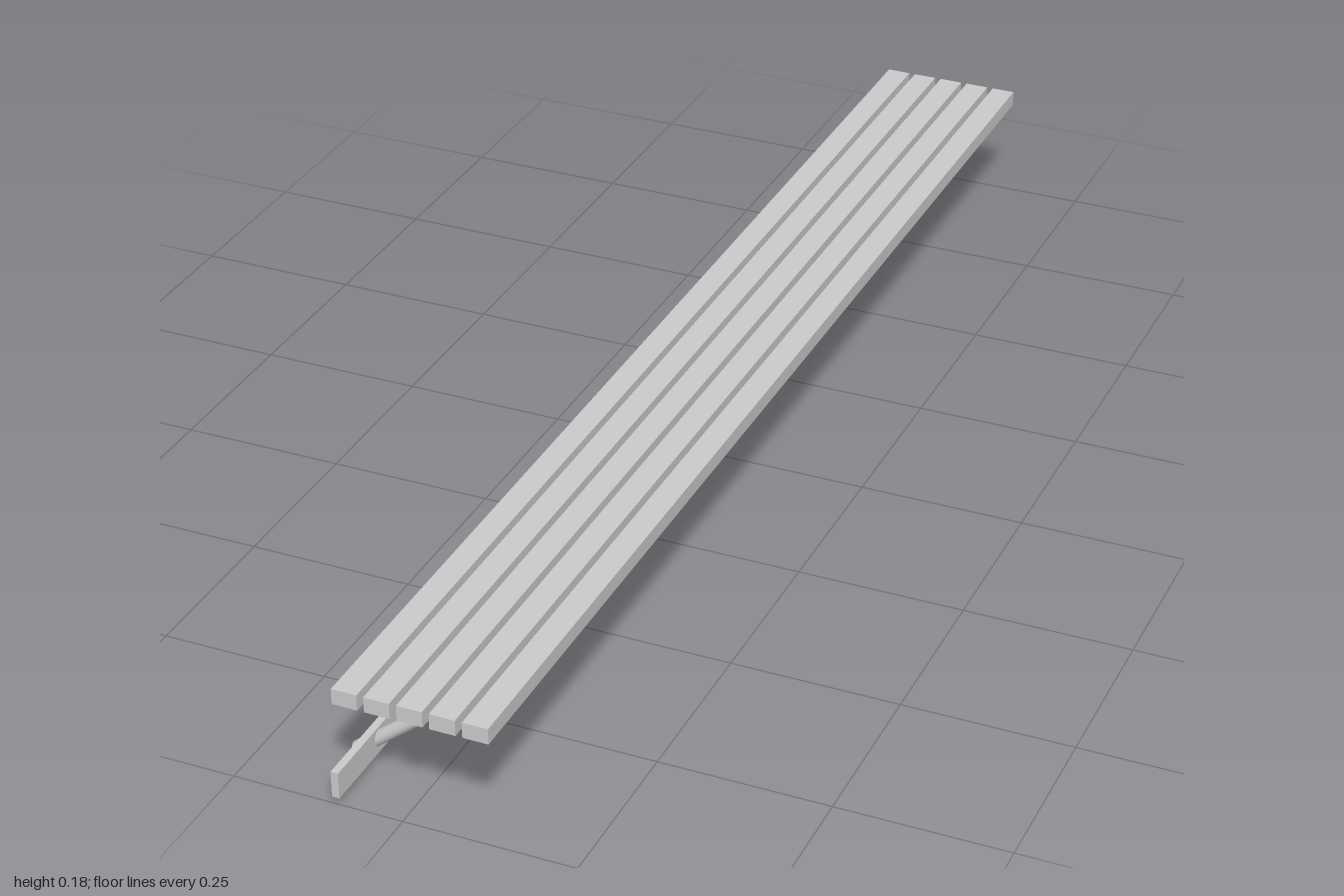
import * as THREE from 'three';

export function createModel() {
  const model = new THREE.Group();
  model.name = 'bench';
  const material = new THREE.MeshStandardMaterial({ color: 0xcccccc });

  function addPart(name, geometry, x, y, z) {
    const mesh = new THREE.Mesh(geometry, material);
    mesh.name = name;
    mesh.position.set(x, y, z);
    model.add(mesh);
    return mesh;
  }

  // Five seat slats, turned very slightly off the bench axis
  const slat = new THREE.BoxGeometry(0.037, 0.0235, 2);
  for (let i = 0; i < 5; i++) {
    addPart('seatSlat', slat, -0.0755 + i * 0.0468, 0.1713, 0).rotation.y = -0.001;
  }

  // Thin panel under the slats
  addPart('seatPanel', new THREE.BoxGeometry(0.227, 0.011, 1.945), 0.0085, 0.154, -0.002);

  // Long rail across the feet of the struts
  addPart('lowerRail', new THREE.BoxGeometry(0.011, 0.04, 2), -0.0975, 0.03, 0);

  // Slanted round struts from the seat down through the rail
  const foot = new THREE.Vector3(-0.1243, 0.0082, 0);
  const top = new THREE.Vector3(0.062, 0.156, 0);
  const direction = top.clone().sub(foot);
  const strut = new THREE.CylinderGeometry(0.0102, 0.0102, direction.length(), 24);
  const middle = foot.clone().add(top).multiplyScalar(0.5);
  const tilt = -Math.atan2(direction.x, direction.y);
  for (const z of [0.888, 0.318, -0.33, -0.9]) {
    addPart('strut', strut, middle.x, middle.y, z).rotation.z = tilt;
  }

  return model;
}
